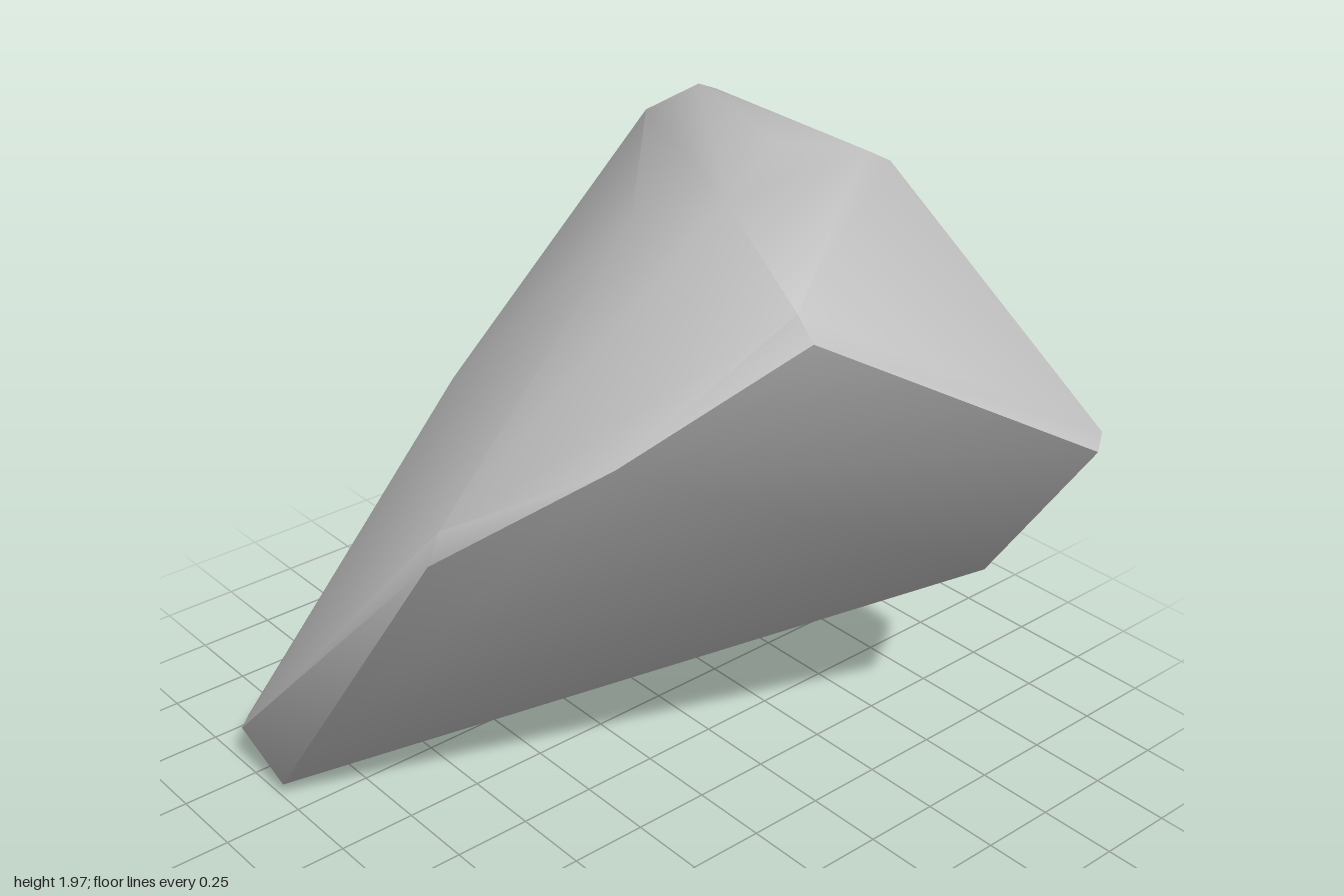
import * as THREE from 'three';
import { ConvexGeometry } from 'three/addons/geometries/ConvexGeometry.js';
import { toCreasedNormals } from 'three/addons/utils/BufferGeometryUtils.js';

// Corners of the boulder, grouped by chipped corner
const corners = {
  frontTip: [[0.835, 1.22, 0.98], [0.91, 1.24, 0.93]],
  frontLower: [[0.84, 0.68, 0.6], [0.77, 0.71, 0.66]],
  frontPeak: [[-0.25, 1.92, 0.85], [-0.25, 1.86, 0.91]],
  crown: [[0.6, 1.97, 0.24], [0.67, 1.93, 0.27], [0.45, 1.97, 0.02], [0.04, 1.963, 0.27]],
  backDome: [[0.05, 1.79, -0.14], [-0.35, 1.28, -0.49]],
  backPeak: [[0.93, 1.82, -0.85], [1, 1.79, -0.84], [0.84, 1.67, -0.98], [0.8, 1.73, -0.965]],
  sideShoulder: [[-0.66, 1.55, 0.65], [-0.98, 1.22, 0.27], [-0.94, 1.31, 0.27]],
  foot: [[-0.92, 0.1, -0.91], [-1, 0.14, -0.81], [-0.91, 0, -0.65], [-1, 0.05, -0.58]],
  underside: [[0.47, 0.63, -0.56]],
};

// Regions of the surface: facing direction, how closely faces match it, crease angle
const regions = [
  { name: 'underside', facing: [0.41, -0.88, -0.2], match: 0.93, crease: 30 },
  { name: 'flank', facing: [0.75, -0.2, -0.63], match: 0.75, crease: 60 },
  { name: 'crust', facing: [0, 1, 0], match: -2, crease: 54 },
];

export function createModel() {
  const group = new THREE.Group();
  group.name = 'boulder';

  const stone = new THREE.MeshStandardMaterial({ color: 0xc6c6c6 });
  stone.name = 'grey stone';

  const points = Object.values(corners).flat().map((p) => new THREE.Vector3(...p));
  const hull = new ConvexGeometry(points).getAttribute('position');

  // Sort the faces of the stone into regions
  const faces = regions.map(() => []);
  const tri = new THREE.Triangle();
  const normal = new THREE.Vector3();
  for (let i = 0; i < hull.count; i += 3) {
    tri.setFromAttributeAndIndices(hull, i, i + 1, i + 2);
    tri.getNormal(normal);
    const r = regions.findIndex(({ facing, match }) =>
      normal.dot(new THREE.Vector3(...facing).normalize()) > match);
    faces[r].push(tri.a.clone(), tri.b.clone(), tri.c.clone());
  }

  // Each region is shaded softly, with sharp edges between regions
  regions.forEach(({ name, crease }, r) => {
    const geometry = new THREE.BufferGeometry().setFromPoints(faces[r]);
    const mesh = new THREE.Mesh(toCreasedNormals(geometry, THREE.MathUtils.degToRad(crease)), stone);
    mesh.name = name;
    group.add(mesh);
  });
  return group;
}
